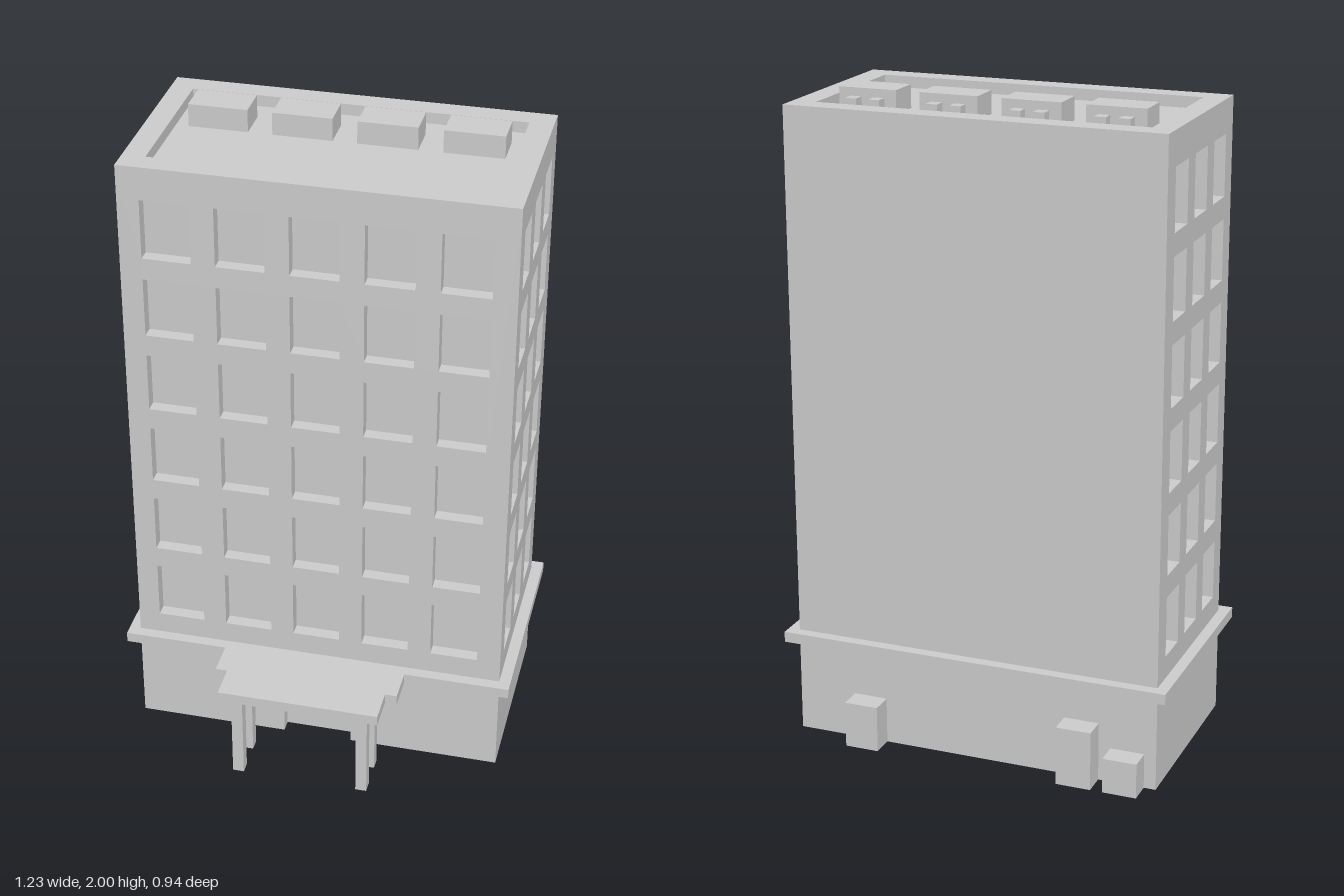
import * as THREE from 'three';

const material = new THREE.MeshStandardMaterial({ color: 0xcccccc, flatShading: true });
const ROOF = 1.93, TOP = 1.965, RECESS = 0.04;
const HALF_W = 0.58, BACK = -0.4, FRONT = 0.215;

export function createModel() {
  const model = new THREE.Group();

  const add = (name, geometry) => {
    const mesh = new THREE.Mesh(geometry, material);
    mesh.name = name;
    model.add(mesh);
    return mesh;
  };

  // Box given by its lower and upper corners
  const box = (name, x0, x1, y0, y1, z0, z1) => {
    const mesh = add(name, new THREE.BoxGeometry(x1 - x0, y1 - y0, z1 - z0));
    mesh.position.set((x0 + x1) / 2, (y0 + y1) / 2, (z0 + z1) / 2);
    return mesh;
  };

  const polygon = (Type, points) => new Type(points.map(([x, y]) => new THREE.Vector2(x, y)));
  const rect = (Type, x0, x1, y0, y1) => polygon(Type, [[x0, y0], [x1, y0], [x1, y1], [x0, y1]]);
  const extrude = (shape, depth) => new THREE.ExtrudeGeometry(shape, { depth, bevelEnabled: false });

  // Floor plan (x, z) extruded between two heights
  const slab = (name, plan, y0, y1) =>
    add(name, extrude(plan, y1 - y0).rotateX(Math.PI / 2).translate(0, y1, 0));

  // Six storeys of window openings
  const cutWindows = (shape, centres, width) => {
    for (let floor = 0; floor < 6; floor++) {
      const y = 0.4 + floor * 0.255;
      for (const c of centres) {
        shape.holes.push(rect(THREE.Path, c - width / 2, c + width / 2, y, y + 0.187));
      }
    }
    return shape;
  };

  // Core behind the window panes; its top is the roof deck
  box('core', -HALF_W + RECESS, HALF_W - RECESS, 0, ROOF, BACK, FRONT - RECESS);

  // Front wall with the doorway cut from its lower edge
  const front = polygon(THREE.Shape, [
    [-HALF_W, 0], [-0.11, 0], [-0.11, 0.26], [0.108, 0.26], [0.108, 0],
    [HALF_W, 0], [HALF_W, ROOF], [-HALF_W, ROOF],
  ]);
  cutWindows(front, [-2, -1, 0, 1, 2].map((i) => i * 0.2185 - 0.003), 0.147);
  add('frontWall', extrude(front, RECESS)).position.z = FRONT - RECESS;

  // Side walls: drawn with -z along the shape's x, then turned to face sideways
  for (const [name, x] of [['leftWall', HALF_W - RECESS], ['rightWall', -HALF_W]]) {
    const side = rect(THREE.Shape, RECESS - FRONT, -BACK, 0, ROOF);
    cutWindows(side, [-0.09, 0.09, 0.271], 0.117);
    add(name, extrude(side, RECESS).rotateY(Math.PI / 2)).position.x = x;
  }

  // Parapet around the roof deck
  const parapet = rect(THREE.Shape, -HALF_W, HALF_W, BACK, FRONT);
  parapet.holes.push(rect(THREE.Path, -0.51, 0.507, -0.33, 0.145));
  slab('parapet', parapet, ROOF, TOP);

  // Ledge above the ground floor, stepping out into the entrance canopy
  slab('ledgeAndCanopy', polygon(THREE.Shape, [
    [-0.615, -0.435], [0.615, -0.435], [0.615, 0.25], [0.287, 0.25], [0.287, 0.36], [0.25, 0.36],
    [0.25, 0.47], [-0.253, 0.47], [-0.253, 0.36], [-0.29, 0.36], [-0.29, 0.25], [-0.615, 0.25],
  ]), 0.297, 0.33);

  // Canopy posts
  for (const x of [-0.202, 0.194]) {
    for (const z of [0.31, 0.422]) {
      box('canopyPost', x - 0.0175, x + 0.0175, 0, 0.3, z - 0.0185, z + 0.0185);
    }
  }

  // Rooftop units, each with two small ducts at the back
  for (let i = 0; i < 4; i++) {
    const x = -0.471 + i * 0.2535;
    box('roofUnit', x, x + 0.18, ROOF, 2, -0.254, -0.148);
    for (const dx of [0.037, 0.109]) {
      box('roofDuct', x + dx, x + dx + 0.035, ROOF, 1.975, -0.291, -0.25);
    }
  }

  // Utility cabinets against the back wall
  for (const [x0, x1, height] of [[-0.543, -0.437, 0.11], [-0.4, -0.291, 0.185], [0.29, 0.396, 0.145]]) {
    box('utilityCabinet', x0, x1, 0, height, -0.472, BACK);
  }

  return model;
}
